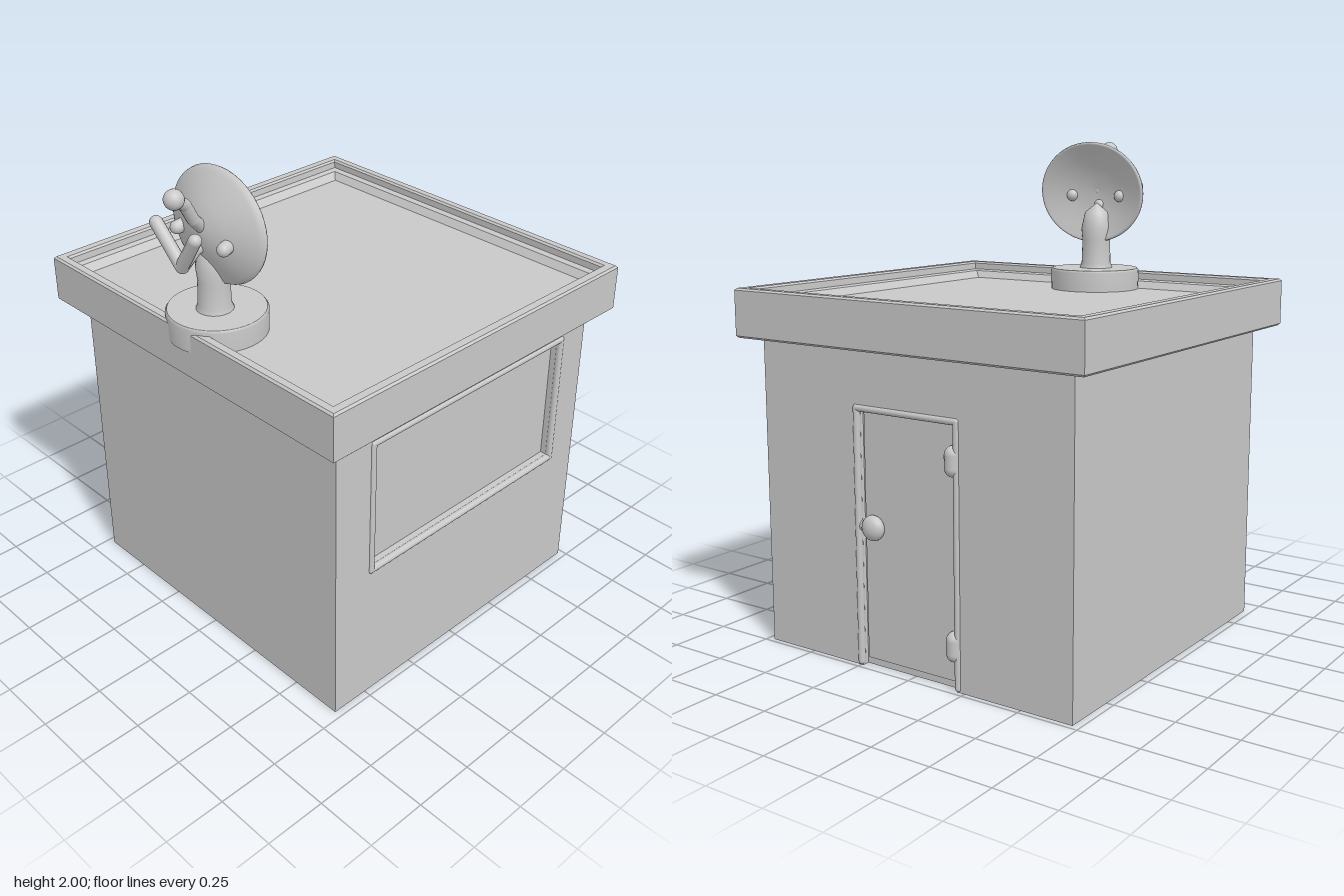
import * as THREE from 'three';

const grey = new THREE.MeshStandardMaterial({ color: 0xc8c8c8 });
grey.name = 'plain grey';

function add(parent, name, geometry, x = 0, y = 0, z = 0) {
  const mesh = new THREE.Mesh(geometry, grey);
  mesh.name = name;
  mesh.position.set(x, y, z);
  parent.add(mesh);
  return mesh;
}

// Round-ended rod between two points
function rod(parent, name, a, b, radius) {
  const p = new THREE.Vector3(...a), q = new THREE.Vector3(...b);
  const dir = q.clone().sub(p);
  const mesh = add(parent, name, new THREE.CapsuleGeometry(radius, dir.length(), 6, 14));
  mesh.position.copy(p).add(q).multiplyScalar(0.5);
  mesh.quaternion.setFromUnitVectors(new THREE.Vector3(0, 1, 0), dir.normalize());
  return mesh;
}

function rods(parent, name, points, radius) {
  for (let i = 1; i < points.length; i++) rod(parent, name, points[i - 1], points[i], radius);
}

// Stacked rectangles, each [half width, y, half depth], closed at both ends
function rectLoft(rings) {
  const pos = [];
  const corner = ([w, y, d], k) => [[w, y, d], [w, y, -d], [-w, y, -d], [-w, y, d]][k % 4];
  const quad = (a, b, c, d) => pos.push(...a, ...b, ...c, ...a, ...c, ...d);
  const first = rings[0], last = rings[rings.length - 1];
  quad(corner(first, 3), corner(first, 2), corner(first, 1), corner(first, 0));
  for (let i = 1; i < rings.length; i++) {
    for (let k = 0; k < 4; k++) {
      quad(corner(rings[i - 1], k), corner(rings[i - 1], k + 1), corner(rings[i], k + 1), corner(rings[i], k));
    }
  }
  quad(corner(last, 0), corner(last, 1), corner(last, 2), corner(last, 3));
  const g = new THREE.BufferGeometry();
  g.setAttribute('position', new THREE.Float32BufferAttribute(pos, 3));
  g.computeVertexNormals();
  return g;
}

function polygon(points) {
  return new THREE.Shape(points.map(([x, y]) => new THREE.Vector2(x, y)));
}

function createBuilding() {
  const g = new THREE.Group();
  g.name = 'building';
  add(g, 'innerWalls', new THREE.BoxGeometry(1.36, 1.27, 1.4), 0.02, 0.635, -0.02);

  // Front wall with the window opening
  const front = polygon([[-0.66, 0], [0.73, 0], [0.73, 1.27], [-0.66, 1.27]]);
  front.holes.push(polygon([[-0.465, 0.605], [-0.465, 1.15], [0.575, 1.15], [0.575, 0.605]]));
  add(g, 'frontWall', new THREE.ExtrudeGeometry(front, { depth: 0.04, bevelEnabled: false }), 0, 0, 0.68);
  rods(g, 'windowFrame', [[-0.475, 0.595, 0.715], [0.585, 0.595, 0.715], [0.585, 1.16, 0.715],
    [-0.475, 1.16, 0.715], [-0.475, 0.595, 0.715]], 0.014);

  // Side wall with the doorway notch
  const side = polygon([[-0.68, 0], [-0.24, 0], [-0.24, 1.01], [0.215, 1.01], [0.215, 0],
    [0.72, 0], [0.72, 1.27], [-0.68, 1.27]]);
  const sideGeo = new THREE.ExtrudeGeometry(side, { depth: 0.03, bevelEnabled: false });
  sideGeo.rotateY(Math.PI / 2);
  add(g, 'doorWall', sideGeo, 0.7, 0, 0);
  rods(g, 'doorFrame', [[0.725, 0.015, 0.25], [0.725, 1.018, 0.25], [0.725, 1.018, -0.22], [0.725, 0.015, -0.22]], 0.014);
  add(g, 'door', new THREE.BoxGeometry(0.02, 0.97, 0.43), 0.7, 0.515, 0.0125);

  // Door furniture
  for (const y of [0.17, 0.87]) rod(g, 'hinge', [0.718, y - 0.025, -0.2], [0.718, y + 0.025, -0.2], 0.034);
  const knob = add(g, 'doorKnob', new THREE.SphereGeometry(0.05, 20, 14), 0.725, 0.56, 0.18);
  knob.scale.x = 0.65;
  rod(g, 'latch', [0.712, 0.56, 0.18], [0.712, 0.56, 0.23], 0.025);
  return g;
}

function createRoof() {
  // Fascia, raised rim, inner ledge and sunken floor
  return rectLoft([[0.767, 1.245, 0.792], [0.775, 1.253, 0.8], [0.775, 1.432, 0.8], [0.767, 1.44, 0.792],
    [0.738, 1.44, 0.76], [0.73, 1.432, 0.752], [0.73, 1.405, 0.75], [0.705, 1.4, 0.725],
    [0.685, 1.37, 0.7]]);
}

function createAntenna() {
  const g = new THREE.Group();
  g.name = 'antenna';
  const lathe = (pts, n = 40) => new THREE.LatheGeometry(pts.map(([x, y]) => new THREE.Vector2(x, y)), n);

  add(g, 'antennaBase', lathe([[0, 1.36], [0.19, 1.36], [0.19, 1.36], [0.192, 1.45], [0.185, 1.459],
    [0.185, 1.46], [0, 1.46]]), -0.57, 0, 0);
  add(g, 'mast', lathe([[0.075, 1.45], [0.063, 1.48], [0.06, 1.58], [0.065, 1.63], [0.05, 1.7], [0, 1.74]], 24), -0.58, 0, 0);

  // Oval dish, hollow towards +x
  const dishGeo = lathe([[0, -0.1], [0.25, -0.093], [0.5, -0.072], [0.75, -0.045], [0.92, -0.023], [0.985, -0.012],
    [1, -0.002], [0.985, 0.006], [0.95, 0.004], [0.75, -0.014], [0.5, -0.034], [0.25, -0.046], [0, -0.05]], 48);
  dishGeo.rotateZ(-Math.PI / 2);
  dishGeo.scale(1, 0.215, 0.255);
  add(g, 'dish', dishGeo, -0.55, 1.785, 0.01).rotation.z = -0.08;

  // Knobs on the back of the dish
  for (const s of [-1, 1]) rod(g, 'dishKnob', [-0.59, 1.77, 0.01 + s * 0.12], [-0.64, 1.76, 0.01 + s * 0.13], 0.026);

  // Feed arm with a ball end
  rods(g, 'feedArm', [[-0.62, 1.79, 0.01], [-0.68, 1.85, 0.03], [-0.72, 1.92, 0.04], [-0.775, 1.96, 0.055]], 0.023);
  add(g, 'feedBall', new THREE.SphereGeometry(0.037, 20, 14), -0.777, 1.963, 0.057);

  // Forked strut behind the dish
  rods(g, 'strut', [[-0.61, 1.73, 0], [-0.66, 1.72, 0], [-0.72, 1.675, 0.005]], 0.026);
  for (const z of [-0.115, 0.1]) rod(g, 'fork', [-0.722, 1.675, 0.005], [-0.732, 1.81, z], 0.025);
  return g;
}

export function createModel() {
  const model = new THREE.Group();
  model.name = 'kioskWithDish';
  model.add(createBuilding());
  add(model, 'roof', createRoof(), 0.025, 0, 0);
  model.add(createAntenna());
  return model;
}
